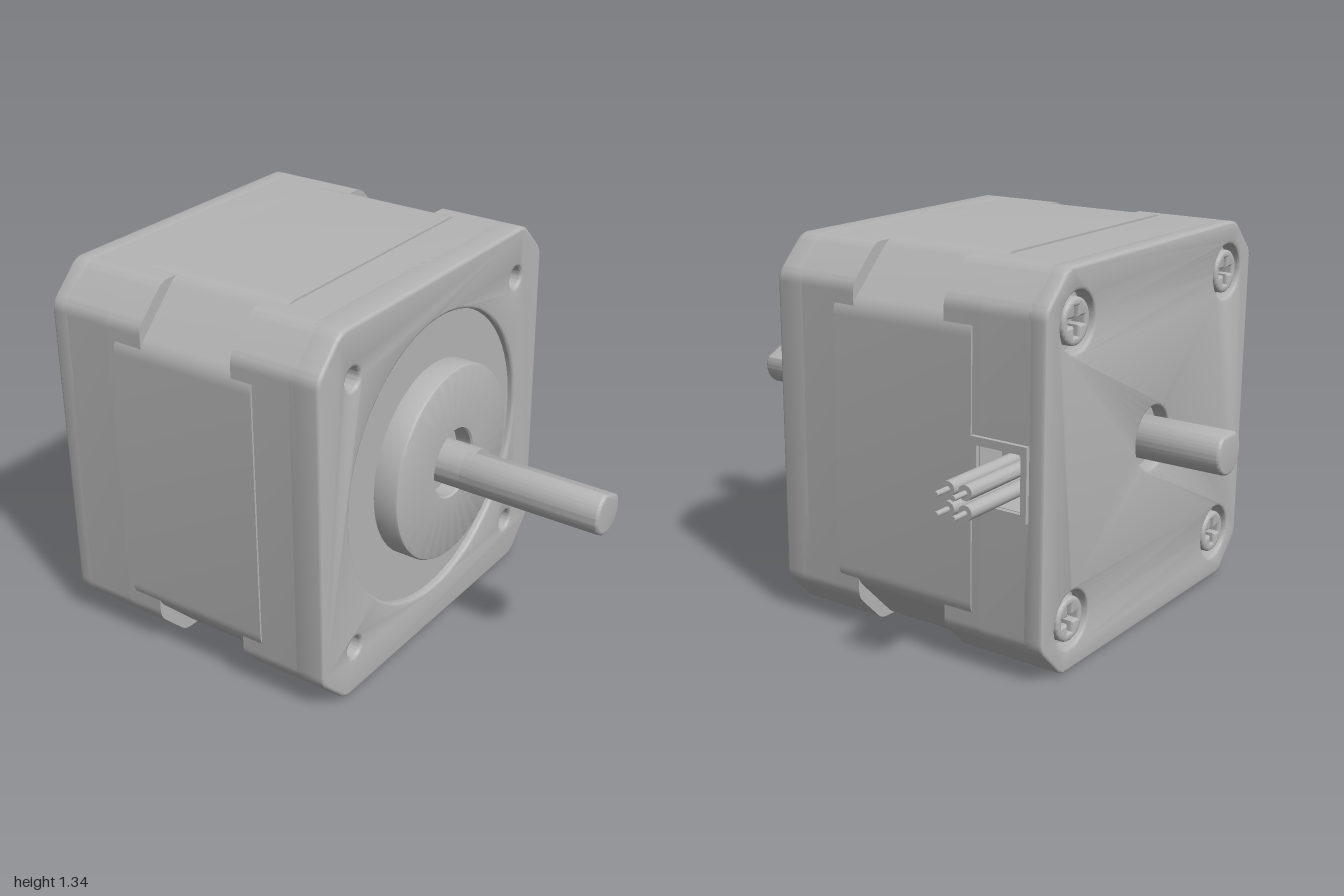
import * as THREE from 'three';
import { toCreasedNormals } from 'three/addons/utils/BufferGeometryUtils.js';

const metal = new THREE.MeshStandardMaterial({ color: 0xb4b4b4 });
metal.name = 'brushed grey';

const CY = 0.672, CZ = 0.14; // motor axis

function add(parent, name, geometry) {
  const mesh = new THREE.Mesh(toCreasedNormals(geometry, 0.6), metal);
  mesh.name = name;
  parent.add(mesh);
  return mesh;
}

// Extrude a cross-section along x from x0 to x1; shape u is -z, shape v is y
function alongX(shape, x0, x1, bevel = 0) {
  const g = new THREE.ExtrudeGeometry(shape, {
    depth: x1 - x0 - 2 * bevel, curveSegments: 32,
    bevelEnabled: bevel > 0, bevelThickness: bevel, bevelSize: bevel,
    bevelOffset: -bevel, bevelSegments: 3,
  });
  return g.translate(0, 0, x0 + bevel).rotateY(Math.PI / 2);
}

function circle(r, u = 0, v = 0, Type = THREE.Path) {
  return new Type().absarc(u, v, r, 0, Math.PI * 2);
}

// Square with chamfered, softened corners; optional pocket cut into the back side
function octagon(h, c, r, pocket) {
  const k = h - c;
  const pts = [[h, -k], [h, k], [k, h], [-k, h], [-h, k], [-h, -k], [-k, -h], [k, -h]]
    .map(p => new THREE.Vector2(...p));
  const s = new THREE.Shape();
  pts.forEach((p, i) => {
    const toward = q => p.clone().add(q.clone().sub(p).setLength(r));
    const a = toward(pts[(i + 7) % 8]), b = toward(pts[(i + 1) % 8]);
    if (i === 0) s.moveTo(a.x, a.y); else s.lineTo(a.x, a.y);
    for (let j = 1; j <= 6; j++) {
      const t = j / 6, w = 1 - t;
      s.lineTo(w * w * a.x + 2 * w * t * p.x + t * t * b.x, w * w * a.y + 2 * w * t * p.y + t * t * b.y);
    }
    if (i === 0 && pocket) {
      const { low, high, depth } = pocket;
      s.lineTo(h, low).lineTo(h - depth, low).lineTo(h - depth, high).lineTo(h, high);
    }
  });
  return s;
}

// Round shaft section with one flat, facing the given angle
function flatted(r, d, angle) {
  const half = Math.acos(d / r);
  return new THREE.Shape().absarc(0, 0, r, angle + half, angle - half + Math.PI * 2);
}

function plus(a, b) {
  return new THREE.Path([[b, a], [a, a], [a, b], [-a, b], [-a, a], [-b, a], [-b, -a], [-a, -a],
    [-a, -b], [a, -b], [a, -a], [b, -a]].map(p => new THREE.Vector2(...p)));
}

export function createModel() {
  const model = new THREE.Group();
  model.name = 'steppingMotor';
  const motor = new THREE.Group();
  motor.name = 'motor';
  motor.position.set(0, CY, CZ);
  model.add(motor);

  const cap = holes => {
    const s = octagon(0.665, 0.12, 0.03);
    s.holes.push(...holes);
    return s;
  };
  const corners = [[1, 1], [-1, 1], [-1, -1], [1, -1]].map(c => c.map(n => n * 0.49));

  // Core with deeper corner cuts, standing slightly proud of the caps
  add(motor, 'statorCore', alongX(octagon(0.672, 0.195, 0.04), -0.445, 0.11));

  // Front cap with mounting holes and a round recess
  add(motor, 'frontCapBody', alongX(cap([]), 0.03, 0.27));
  add(motor, 'frontCapFace', alongX(
    cap([circle(0.515), ...corners.map(([u, v]) => circle(0.038, u, v))]), 0.24, 0.36, 0.012));

  // Rear cap with screw wells, shaft opening and connector pocket
  add(motor, 'rearCapBody', alongX(cap([]), -0.475, -0.335));
  add(motor, 'rearCapPocket', alongX(
    octagon(0.665, 0.12, 0.03, { low: -0.09, high: 0.1, depth: 0.12 }), -0.66, -0.475));
  add(motor, 'rearCapFace', alongX(
    cap([circle(0.11), ...corners.map(([u, v]) => circle(0.098, u, v))]), -0.715, -0.64, 0.01));

  // Pilot boss with recess floor and bearing seat
  const profile = [[0.53, 0.335], [0.345, 0.335], [0.345, 0.413], [0.341, 0.421], [0.333, 0.425],
    [0.125, 0.425], [0.119, 0.419], [0.119, 0.36], [0.06, 0.36]];
  add(motor, 'pilotBoss', new THREE.LatheGeometry(
    profile.map(p => new THREE.Vector2(...p)), 72).rotateZ(-Math.PI / 2));

  // Shafts
  const r = 0.077;
  add(motor, 'frontShaftRound', alongX(circle(r, 0, 0, THREE.Shape), 0.3, 0.52));
  add(motor, 'frontShaft', alongX(flatted(r, 0.06, Math.PI * 0.36), 0.48, 1, 0.012));
  add(motor, 'rearShaft', alongX(flatted(r, 0.062, Math.PI / 2), -1, -0.62, 0.01));

  // Cross-head screws
  for (const [u, v] of corners) {
    const head = circle(0.076, 0, 0, THREE.Shape);
    head.holes.push(plus(0.013, 0.048));
    const screw = add(motor, 'screw', alongX(head, -0.71, -0.65, 0.01));
    screw.position.set(0, v, -u);
  }

  // Connector frame and leads
  const connector = new THREE.Group();
  connector.name = 'connector';
  model.add(connector);
  const frame = new THREE.Shape([[-0.66, 0.552], [-0.45, 0.552], [-0.45, 0.8], [-0.66, 0.8]]
    .map(p => new THREE.Vector2(...p)));
  frame.holes.push(new THREE.Path([[-0.638, 0.58], [-0.638, 0.772], [-0.472, 0.772], [-0.472, 0.58]]
    .map(p => new THREE.Vector2(...p))));
  add(connector, 'connectorFrame', new THREE.ExtrudeGeometry(frame, { depth: 0.025, bevelEnabled: false })
    .translate(0, 0, -0.54));
  const rod = (name, x, y, radius, z0, z1) => add(connector, name,
    new THREE.CylinderGeometry(radius, radius, z1 - z0, 20).rotateX(Math.PI / 2).translate(x, y, (z0 + z1) / 2));
  for (const x of [-0.587, -0.523]) for (const y of [0.637, 0.701]) {
    rod('leadSleeve', x, y, 0.025, -0.755, -0.4);
    rod('leadWire', x, y, 0.009, -0.815, -0.74);
  }
  return model;
}
